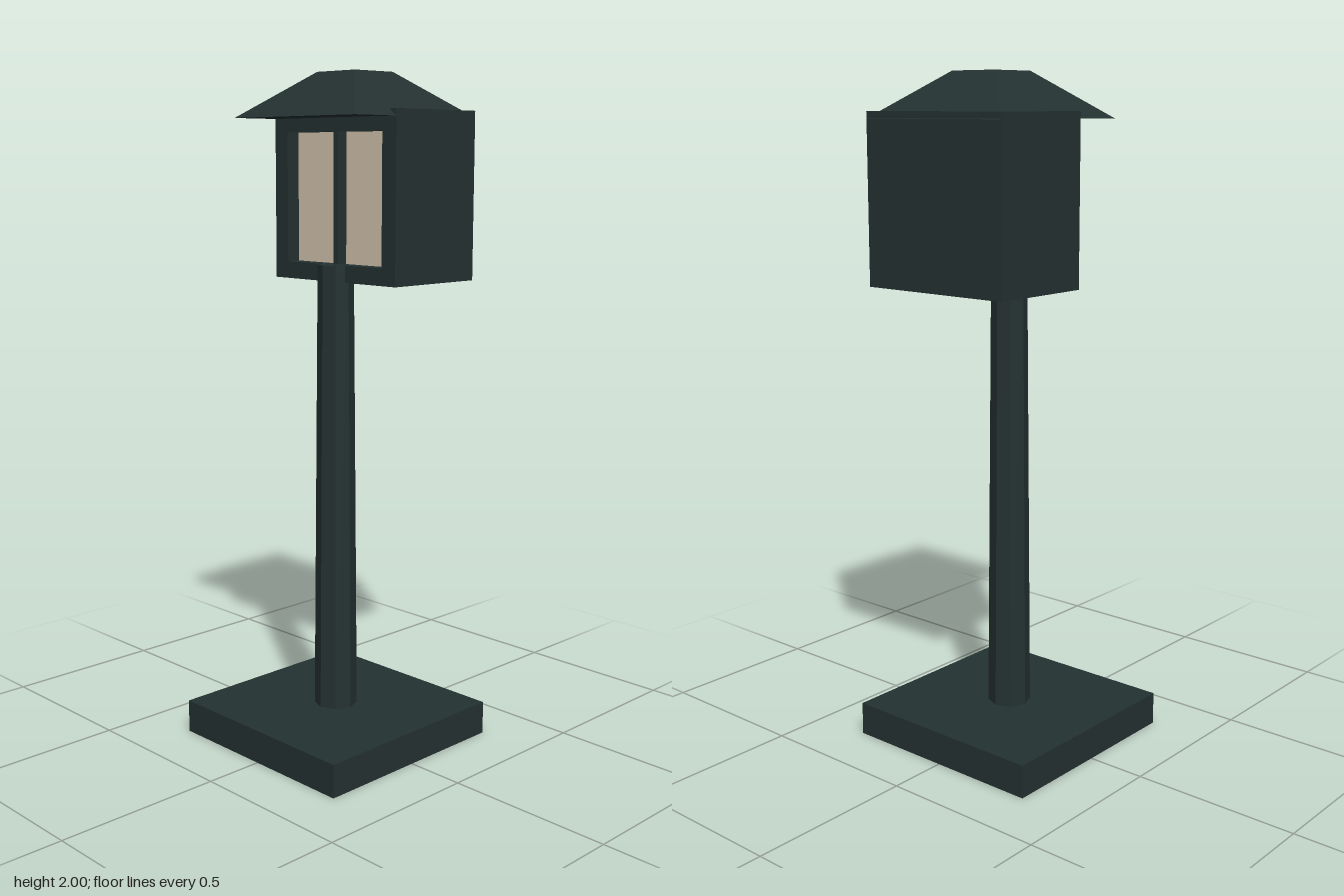
import * as THREE from 'three';

export function createModel() {
  const model = new THREE.Group();
  const iron = new THREE.MeshStandardMaterial({ color: 0x243131 });
  iron.name = 'darkIron';
  const glass = new THREE.MeshStandardMaterial({ color: 0xd4c3ad });
  glass.name = 'warmGlass';

  function add(name, geometry, material, x, y, z) {
    const mesh = new THREE.Mesh(geometry, material);
    mesh.name = name;
    mesh.position.set(x, y, z);
    model.add(mesh);
    return mesh;
  }
  const box = (w, h, d) => new THREE.BoxGeometry(w, h, d);
  // Flat facets for the low-poly round parts
  function faceted(geometry) {
    const flat = geometry.toNonIndexed();
    flat.computeVertexNormals();
    return flat;
  }

  // Base slab and tapered octagonal post
  add('base', box(0.645, 0.1, 0.645), iron, 0, 0.05, 0);
  add('post', faceted(new THREE.CylinderGeometry(0.053, 0.065, 1.35, 8)), iron, 0, 0.775, 0);

  // Lantern housing: solid rear body with an open frame in front
  const half = 0.248, front = 0.01, recess = 0.05, back = -0.322;
  const bottom = 1.4, top = 1.89;
  const bodyDepth = front - recess - back;
  add('housing', box(half * 2, top - bottom, bodyDepth), iron,
    0, (top + bottom) / 2, back + bodyDepth / 2);

  const rect = (path, x, y0, y1) => path
    .moveTo(-x, y0).lineTo(x, y0).lineTo(x, y1).lineTo(-x, y1).closePath();
  const frame = new THREE.Shape();
  rect(frame, half, bottom, top);
  const opening = new THREE.Path();
  rect(opening, 0.195, 1.45, 1.83);
  frame.holes.push(opening);
  add('windowFrame', new THREE.ExtrudeGeometry(frame, { depth: recess, bevelEnabled: false }),
    iron, 0, 0, front - recess);

  // Two thin panes and the bar between them
  for (const side of [-1, 1]) {
    add(side > 0 ? 'leftPane' : 'rightPane', box(0.187, 0.38, 0.006), glass,
      side * 0.1015, 1.64, front - recess + 0.003);
  }
  add('windowBar', box(0.018, 0.38, 0.04), iron, 0, 1.64, front - recess + 0.02);

  // Hipped roof overhanging the front
  const roof = new THREE.CylinderGeometry(0.077 * Math.SQRT2, 0.247 * Math.SQRT2, 0.13, 4);
  roof.rotateY(Math.PI / 4);
  add('roof', faceted(roof), iron, 0, 1.935, -0.077);

  return model;
}
